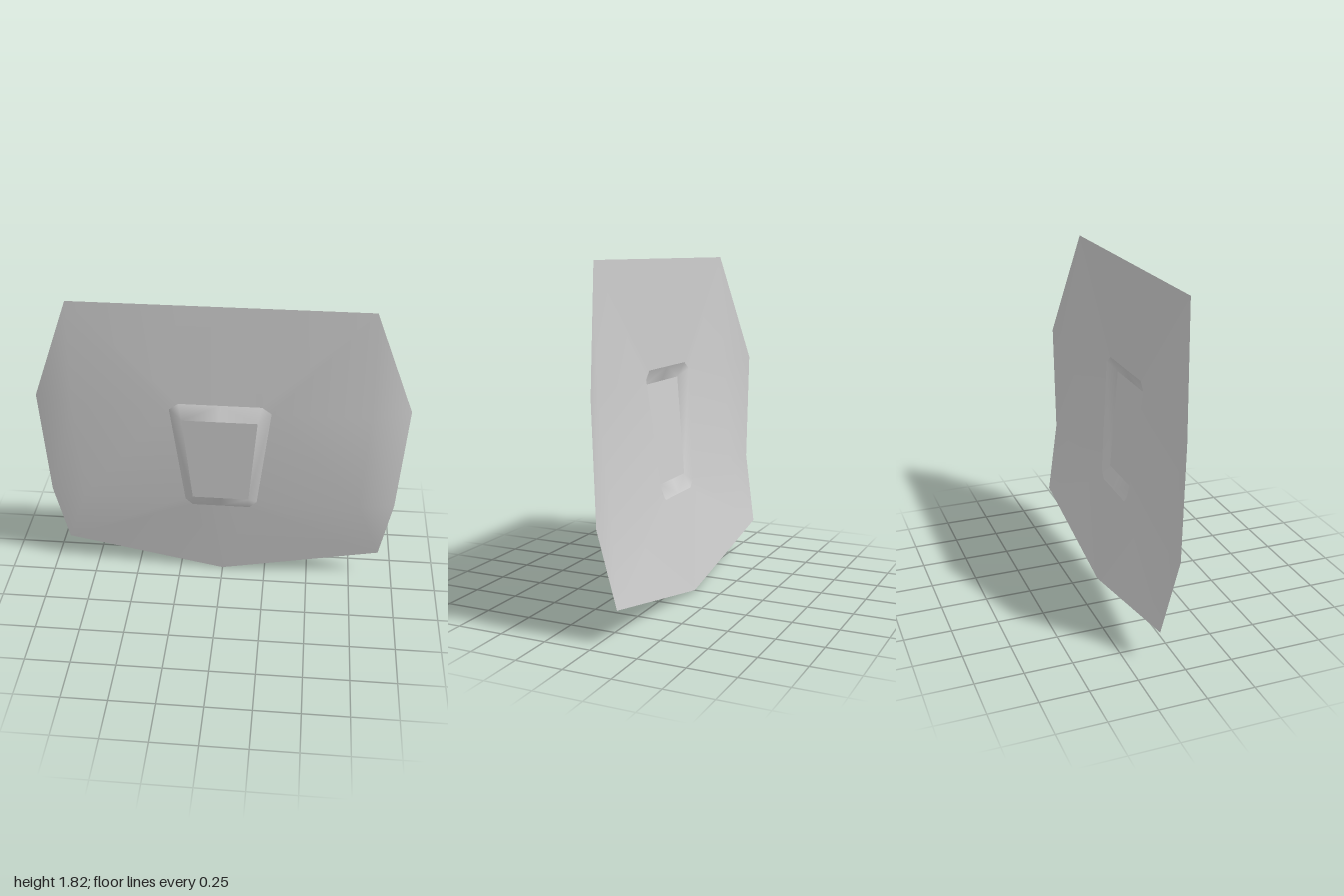
import * as THREE from 'three';
import { mergeVertices } from 'three/addons/utils/BufferGeometryUtils.js';

// Corner points of the left half; the right half is mirrored.
const P = {
  // outer outline
  topMid: [0, 1.815, 0.08], topIn: [0.22, 1.815, 0.08], top: [0.77, 1.815, 0.08],
  upper: [1, 1.2, -0.025], lower: [0.965, 0.58, -0.025],
  base: [0.91, 0.18, -0.1], tip: [0, 0, -0.1],
  // bend where the sides turn back
  bendUp: [0.79, 1.2, 0.058], bendLow: [0.77, 0.58, 0],
  // foot of the raised boss
  a0: [0, 1.24, 0.065], a: [0.22, 1.24, 0.065], b: [0.27, 1.2, 0.06],
  c: [0.2, 0.58, 0.003], d: [0.16, 0.54, 0], d0: [0, 0.54, 0],
  // crown of the boss
  t0: [0, 1.16, 0.1], t: [0.2, 1.16, 0.1], u: [0.155, 0.62, 0.037], u0: [0, 0.62, 0.037],
};

// Builds faces and their mirror images, smooth within one part.
function mirroredSheet(name, faces, material) {
  const pos = [];
  for (const face of faces) {
    const pts = face.split(' ').map((k) => P[k]);
    for (let i = 1; i < pts.length - 1; i++) {
      const tri = [pts[0], pts[i], pts[i + 1]];
      for (const p of tri) pos.push(...p);
      for (const p of tri.reverse()) pos.push(p[0] ? -p[0] : 0, p[1], p[2]);
    }
  }
  let geo = new THREE.BufferGeometry();
  geo.setAttribute('position', new THREE.Float32BufferAttribute(pos, 3));
  geo = mergeVertices(geo);
  geo.computeVertexNormals();
  const mesh = new THREE.Mesh(geo, material);
  mesh.name = name;
  return mesh;
}

export function createModel() {
  const grey = new THREE.MeshStandardMaterial({ color: 0xcccccc, side: THREE.DoubleSide });
  grey.name = 'plain grey';

  const group = new THREE.Group();
  group.name = 'curvedPanel';
  group.add(
    // Sheet around the boss, with its sides bent back
    mirroredSheet('panelSheet', [
      'topMid a0 a topIn', 'top topIn a', 'top a b', 'top b bendUp', 'top bendUp upper',
      'b c bendLow bendUp', 'bendUp bendLow lower upper', 'lower bendLow base',
      'bendLow c base', 'c d base', 'd tip base', 'd0 tip d',
    ], grey),
    // Sloping sides of the boss, hollow behind
    mirroredSheet('bossBevel', ['a0 t0 t a', 'a t b', 'b t u c', 'c u d', 'd0 d u u0'], grey),
    // Flat face of the boss
    mirroredSheet('bossFace', ['t0 u0 u t'], grey),
  );
  return group;
}
